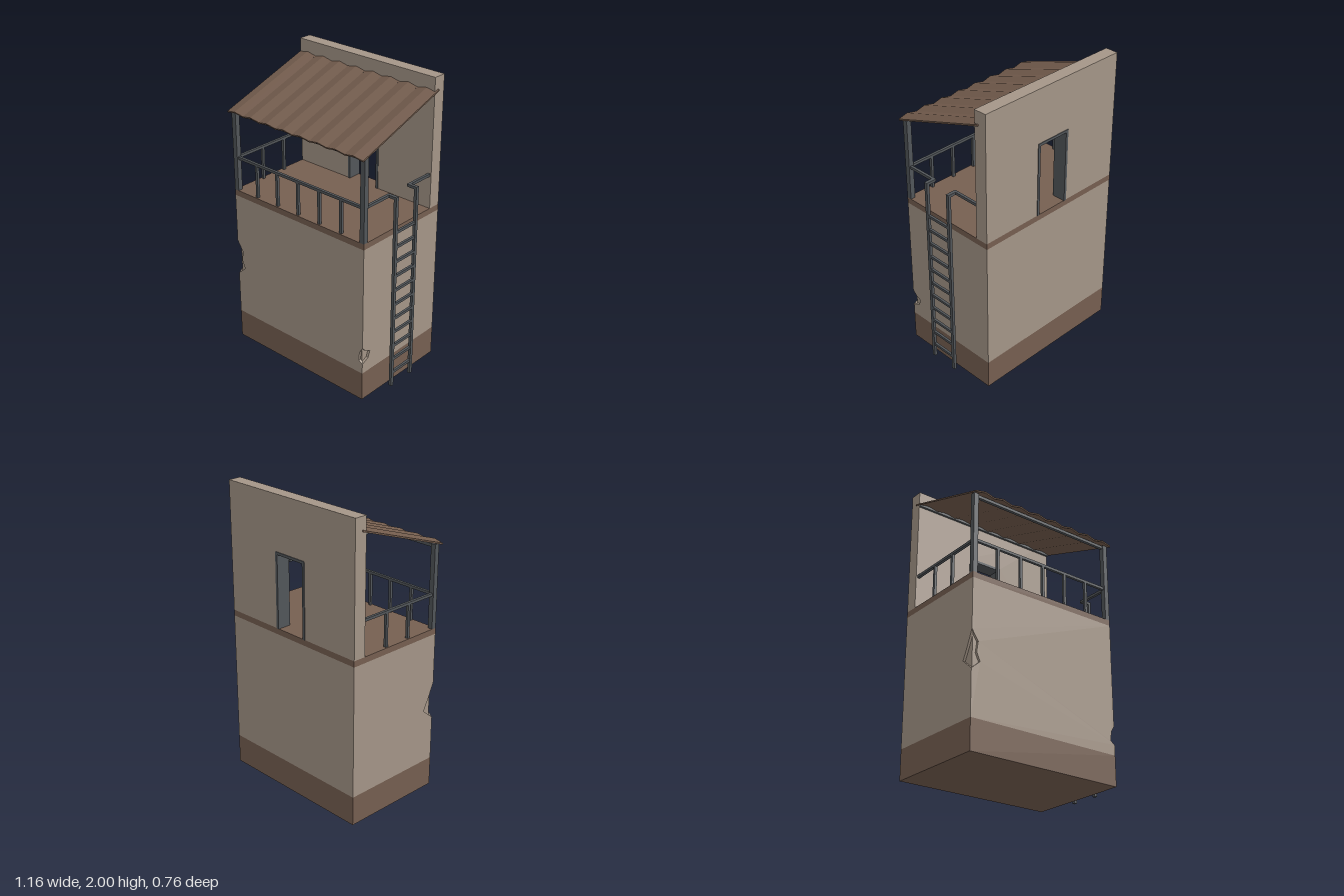
import * as THREE from 'three';

const X0 = -0.577, X1 = 0.531;   // building sides
const Z0 = -0.375, Z1 = 0.344;   // building back and front
const BASE = 0.2, BAND = 1.09, DECK = 1.13, SKIN = 0.016;

const mat = (name, color) => {
  const m = new THREE.MeshStandardMaterial({ color });
  m.name = name;
  return m;
};

export function createModel() {
  const plaster = mat('plaster', 0xa59688);
  const brown = mat('brown', 0x765f51);
  const roofBrown = mat('roof brown', 0x735c4d);
  const metal = mat('dark metal', 0x52565a);

  const root = new THREE.Group();
  root.name = 'watchHouse';

  const group = (name) => {
    const g = new THREE.Group();
    g.name = name;
    root.add(g);
    return g;
  };
  const add = (parent, name, geo, material) => {
    const m = new THREE.Mesh(geo, material);
    m.name = name;
    parent.add(m);
    return m;
  };
  // Box given by its lower and upper corners
  const box = (parent, name, material, x0, x1, y0, y1, z0, z1) => {
    const m = add(parent, name, new THREE.BoxGeometry(x1 - x0, y1 - y0, z1 - z0), material);
    m.position.set((x0 + x1) / 2, (y0 + y1) / 2, (z0 + z1) / 2);
    return m;
  };
  const slab = (points, depth) => new THREE.ExtrudeGeometry(
    new THREE.Shape(points.map(([x, y]) => new THREE.Vector2(x, y))),
    { depth, bevelEnabled: false });

  // Lower storey: plinth, core, and a plaster skin with chipped front corners
  const body = group('lowerStorey');
  box(body, 'plinth', brown, X0, X1, 0, BASE, Z0, Z1);
  box(body, 'wallCore', plaster, X0 + SKIN, X1 - SKIN, BASE, BAND, Z0, Z1 - SKIN);
  box(body, 'floorBand', brown, X0, X1, BAND, DECK, Z0, Z1);

  const chipFrontLeft = [[X1, 0.27], [0.502, 0.29], [0.506, 0.35], [X1, 0.39]];
  const chipFrontRight = [[X0, 0.75], [-0.53, 0.68], [-0.54, 0.61], [-0.515, 0.555], [X0, 0.5]];
  add(body, 'frontSkin', slab([
    [X0, BASE], [X1, BASE], ...chipFrontLeft, [X1, BAND], [X0, BAND], ...chipFrontRight,
  ], SKIN), plaster).position.z = Z1 - SKIN;

  // Side skins are drawn in (-z, y) and turned to face sideways
  const sideSkin = (name, chip, x) => {
    const m = add(body, name, slab([
      [-Z1, BASE], [-Z0, BASE], [-Z0, BAND], [-Z1, BAND],
      ...chip.map(([z, y]) => [-z, y]),
    ], SKIN), plaster);
    m.rotation.y = Math.PI / 2;
    m.position.x = x;
  };
  sideSkin('leftSkin', [[Z1, 0.39], [0.31, 0.355], [0.272, 0.34], [0.29, 0.295], [Z1, 0.27]], X1 - SKIN);
  sideSkin('rightSkin', [[Z1, 0.75], [0.3, 0.65], [0.26, 0.57], [Z1, 0.5]], X0);

  // Tall back wall with doorway
  const D0 = -0.153, D1 = 0.105, DT = 1.638, WZ = -0.287;
  const back = group('backWall');
  add(back, 'wall', slab([
    [X0, DECK], [D0, DECK], [D0, DT], [D1, DT], [D1, DECK], [X1, DECK], [X1, 2], [X0, 2],
  ], WZ - Z0), plaster).position.z = Z0;
  const F = 0.018;
  add(back, 'doorFrame', slab([
    [D0, DECK], [D0 + F, DECK], [D0 + F, DT - F], [D1 - F, DT - F],
    [D1 - F, DECK], [D1, DECK], [D1, DT], [D0, DT],
  ], WZ - Z0 + 0.008), metal).position.z = Z0 - 0.004;

  // Roof posts and beams
  const frame = group('roofFrame');
  const P = 0.034;
  for (const x of [X0, X1 - P]) box(frame, 'post', metal, x, x + P, DECK, 1.685, Z1 - P, Z1);
  box(frame, 'frontBeam', metal, X0, X1, 1.662, 1.682, Z1 - 0.027, Z1 - 0.007);
  box(frame, 'backBeam', metal, X0, X1, 1.885, 1.903, WZ, WZ + 0.016);

  // Railing
  const rail = group('railing');
  const R = 0.018, RY0 = 1.35, RY1 = 1.368;
  const xr = X0 + P / 2, xl = X1 - P / 2, zf = Z1 - P / 2, h = R / 2;
  const LX = 0.571, LZ = [0.101, -0.091];
  box(rail, 'frontRail', metal, xr, xl, RY0, RY1, zf - h, zf + h);
  for (let i = 0; i < 5; i++) {
    const x = -0.38 + i * 0.179;
    box(rail, 'frontBaluster', metal, x - h, x + h, DECK, RY0, zf - h, zf + h);
  }
  box(rail, 'rightRail', metal, xr - h, xr + h, RY0, RY1, WZ, zf);
  for (const z of LZ) box(rail, 'rightBaluster', metal, xr - h, xr + h, DECK, RY0, z - h, z + h);
  box(rail, 'leftFrontRail', metal, xl - h, xl + h, RY0, RY1, LZ[0] - h, zf);
  box(rail, 'leftBackRail', metal, xl - h, xl + h, RY0, RY1, WZ, LZ[1] + h);

  // Ladder, joined to the railing at the top
  const ladder = group('ladder');
  for (const z of LZ) {
    box(ladder, 'ladderPost', metal, LX - 0.01, LX + 0.01, 0, RY1, z - 0.011, z + 0.011);
    box(ladder, 'ladderHandhold', metal, xl, LX, RY0, RY1, z - 0.011, z + 0.011);
  }
  for (let i = 0; i < 11; i++) {
    const y = 0.1 + i * 0.1027;
    box(ladder, 'rung', metal, LX - 0.008, LX + 0.008, y - 0.009, y + 0.009, LZ[1], LZ[0]);
  }

  // Corrugated sloping roof
  const waves = 8, n = waves * 4, RX0 = -0.583, RX1 = 0.54, T = 0.005;
  const top = [], under = [];
  for (let i = 0; i <= n; i++) {
    const x = RX0 + (RX1 - RX0) * i / n;
    const y = -0.007 * Math.cos(i / n * waves * Math.PI * 2);
    top.unshift([x, y + T]);
    under.push([x, y - T]);
  }
  const rise = 0.235, run = 0.69;
  const roof = add(root, 'corrugatedRoof', slab([...under, ...top], Math.hypot(rise, run)), roofBrown);
  roof.position.set(0, 1.92, -0.317);
  roof.rotation.x = Math.atan2(rise, run);

  return root;
}
